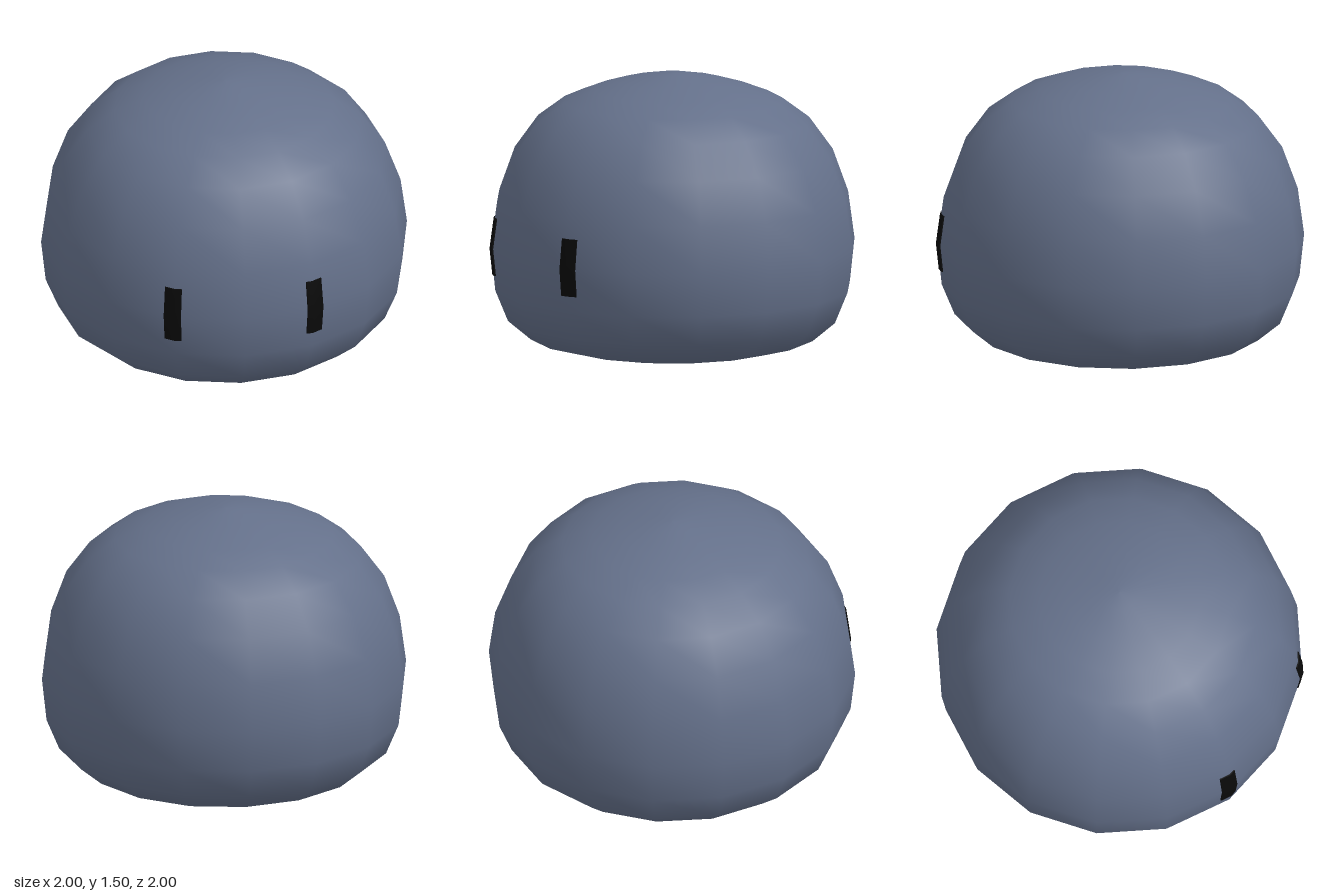
import * as THREE from 'three';

const SIDES = 16;
const STEP = (Math.PI * 2) / SIDES;

// Body outline from bottom centre to top centre: [radius, height]
const PROFILE = [
  [0, 0], [0.5, 0], [0.62, 0.012], [0.78, 0.055], [0.905, 0.16], [0.975, 0.33],
  [1, 0.565], [0.965, 0.825], [0.88, 1.06], [0.75, 1.24], [0.6, 1.352],
  [0.44, 1.415], [0.29, 1.46], [0.1, 1.498], [0, 1.503],
];

// Radius of the sixteen-sided body at a height and angle
function surfaceRadius(y, angle) {
  const i = PROFILE.findIndex((p) => p[1] > y);
  const [r0, y0] = PROFILE[i - 1];
  const [r1, y1] = PROFILE[i];
  const ring = r0 + ((r1 - r0) * (y - y0)) / (y1 - y0);
  const facetMiddle = (Math.floor(angle / STEP + 1e-6) + 0.5) * STEP;
  return (ring * Math.cos(STEP / 2)) / Math.cos(angle - facetMiddle);
}

// Thin slab bent over the body's facets
function createEye(name, side, material) {
  const angles = [20.4, 22.5, 26].map(THREE.MathUtils.degToRad);
  const heights = [0.417, 0.565, 0.732];
  const geometry = new THREE.BoxGeometry(2, 2, 2, 2, 2, 1);
  const pos = geometry.attributes.position;
  for (let i = 0; i < pos.count; i++) {
    const column = Math.round(pos.getX(i)) * side + 1;
    const angle = angles[column];
    const y = heights[Math.round(pos.getY(i)) + 1];
    const r = surfaceRadius(y, angle) + (pos.getZ(i) > 0 ? 0.007 : -0.012);
    pos.setXYZ(i, side * r * Math.sin(angle), y, r * Math.cos(angle));
  }
  geometry.computeVertexNormals();
  const eye = new THREE.Mesh(geometry, material);
  eye.name = name;
  return eye;
}

export function createModel() {
  const model = new THREE.Group();
  model.name = 'roundCreature';

  // Squat rounded body
  const points = PROFILE.map(([r, y]) => new THREE.Vector2(r, y));
  const body = new THREE.Mesh(
    new THREE.LatheGeometry(points, SIDES),
    new THREE.MeshStandardMaterial({ color: 0x64708a }),
  );
  body.name = 'body';
  model.add(body);

  // Pair of upright eyes
  const eyeMaterial = new THREE.MeshStandardMaterial({ color: 0x0a0a0a });
  model.add(createEye('leftEye', 1, eyeMaterial), createEye('rightEye', -1, eyeMaterial));

  return model;
}
